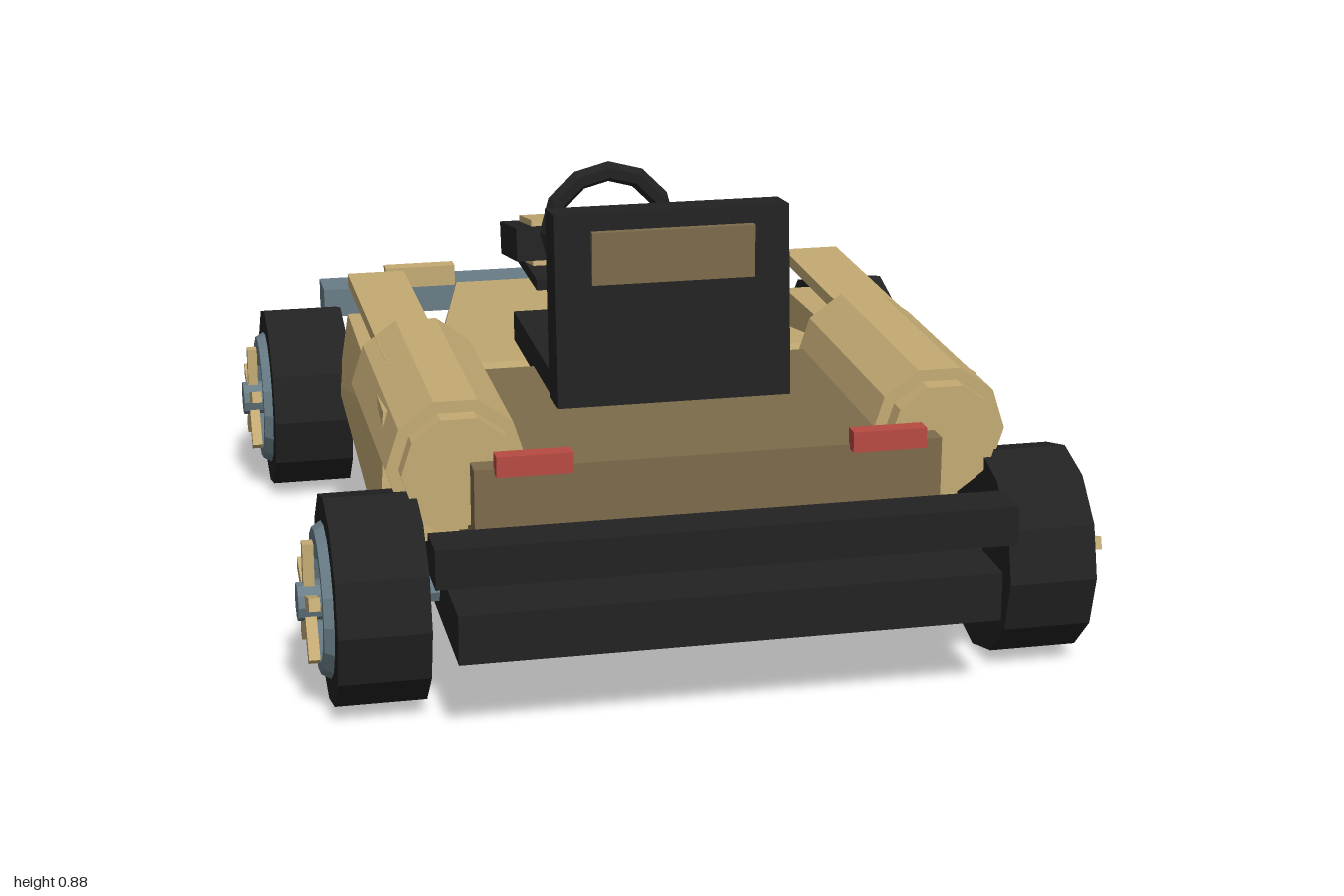
import * as THREE from 'three';
import { ConvexGeometry } from 'three/addons/geometries/ConvexGeometry.js';

const paint = (name, color) => {
  const m = new THREE.MeshStandardMaterial({ color });
  m.name = name;
  return m;
};

export function createModel() {
  const tan = paint('tan', 0xc4ab74);
  const darkTan = paint('dark tan', 0x7d6c4c);
  const black = paint('black', 0x222222);
  const steel = paint('blue grey', 0x697d87);
  const red = paint('red', 0xb84a42);

  const kart = new THREE.Group();
  kart.name = 'kart';

  // Adds a faceted mesh
  function add(name, geometry, material, parent = kart) {
    const g = geometry.index ? geometry.toNonIndexed() : geometry;
    g.computeVertexNormals();
    const mesh = new THREE.Mesh(g, material);
    mesh.name = name;
    parent.add(mesh);
    return mesh;
  }

  // Box given by its limits on each axis
  function box(name, [x0, x1], [y0, y1], [z0, z1], material, parent) {
    const mesh = add(name, new THREE.BoxGeometry(Math.abs(x1 - x0), y1 - y0, z1 - z0), material, parent);
    mesh.position.set((x0 + x1) / 2, (y0 + y1) / 2, (z0 + z1) / 2);
    return mesh;
  }

  // Convex block through a few corners
  const block = (name, corners, material) =>
    add(name, new ConvexGeometry(corners.map((c) => new THREE.Vector3(...c))), material);

  // Cylinder between two points
  function rod(name, a, b, radius, sides, material, parent) {
    const p = new THREE.Vector3(...a), q = new THREE.Vector3(...b);
    const mesh = add(name, new THREE.CylinderGeometry(radius, radius, p.distanceTo(q), sides), material, parent);
    mesh.position.copy(p).lerp(q, 0.5);
    mesh.quaternion.setFromUnitVectors(new THREE.Vector3(0, 1, 0), q.sub(p).normalize());
    return mesh;
  }

  // Chassis, bumper, deck and wing
  box('floorPan', [-0.535, 0.535], [0.165, 0.265], [-0.83, 1], black);
  box('bumper', [-0.573, 0.573], [0.31, 0.39], [0.88, 0.975], black);
  box('deck', [-0.47, 0.47], [0.265, 0.48], [0.17, 0.8], darkTan);
  box('wing', [-0.58, 0.58], [0.3, 0.37], [-1, -0.895], steel);

  // Tapered hood
  block('hood', [-1, 1].flatMap((s) => [
    [s * 0.25, 0.375, -0.88], [s * 0.29, 0.19, -0.95],
    [s * 0.44, 0.46, 0.06], [s * 0.45, 0.265, 0.13],
  ]), tan);

  // Seat
  box('seatBase', [-0.24, 0.24], [0.465, 0.53], [-0.08, 0.42], black);
  const back = add('seatBack', new THREE.BoxGeometry(0.49, 0.4, 0.092), black);
  back.position.set(0, 0.678, 0.412);
  back.rotation.x = -0.09;
  box('headPanel', [-0.17, 0.17], [0.735, 0.845], [0.347, 0.459], darkTan);

  // Steering wheel, spoke bar and column
  const wheel = add('steeringWheel', new THREE.TorusGeometry(0.134, 0.023, 6, 12), black);
  wheel.position.set(0, 0.673, -0.21);
  box('steeringSpoke', [-0.12, 0.12], [0.655, 0.69], [-0.22, -0.2], steel);
  rod('steeringColumn', [0, 0.665, -0.215], [0, 0.39, -0.46], 0.021, 8, steel);

  // Dash pod
  const dash = new THREE.Group();
  dash.name = 'dash';
  dash.position.set(0, 0.565, -0.545);
  dash.rotation.x = -0.18;
  kart.add(dash);
  add('dashBox', new THREE.BoxGeometry(0.345, 0.078, 0.235), black, dash);
  add('dashPanel', new THREE.BoxGeometry(0.26, 0.108, 0.17), tan, dash);
  box('dashPlate', [-0.13, 0.13], [0.48, 0.506], [-0.69, -0.405], black);

  for (const s of [-1, 1]) {
    // Side pod
    block('sidePod', [
      [s * 0.455, 0.465, -0.355], [s * 0.58, 0.465, -0.355],
      [s * 0.45, 0.265, -0.44], [s * 0.598, 0.265, -0.44],
      [s * 0.42, 0.535, 0.57], [s * 0.615, 0.535, 0.57],
      [s * 0.42, 0.265, 0.6], [s * 0.628, 0.265, 0.6],
    ], tan);

    // Side barrel with stepped end, and rail
    const sx = s * 0.49;
    for (const [name, z0, z1, r] of [['barrel', 0.145, 0.71, 0.14], ['barrelEnd', 0.7, 0.752, 0.115]]) {
      const geo = new THREE.CylinderGeometry(r, r, z1 - z0, 10);
      geo.rotateY(Math.PI / 10).rotateX(Math.PI / 2);
      add(name, geo, tan).position.set(sx, 0.46, (z0 + z1) / 2);
    }
    box('sideRail', [s * 0.45, s * 0.578], [0.535, 0.562], [-0.35, 0.36], tan);

    // Lamps
    box('tailLamp', [s * 0.28, s * 0.43], [0.47, 0.512], [0.79, 0.825], red);
    box('noseLamp', [s * 0.27, s * 0.44], [0.4, 0.45], [-0.81, -0.772], tan);

    // Wheels with rim, hub and five spokes
    for (const z of [0.73, -0.565]) {
      const group = new THREE.Group();
      group.name = 'wheel';
      group.position.set(0, 0.21, z);
      kart.add(group);
      rod('axle', [s * 0.5, 0.008, 0], [s * 0.6, 0.008, 0], 0.03, 8, steel, group);
      const tyre = new THREE.CylinderGeometry(0.21, 0.21, 0.18, 12).rotateZ(Math.PI / 2);
      add('tyre', tyre, black, group).position.x = s * 0.665;
      const rim = new THREE.TorusGeometry(0.133, 0.022, 6, 16).rotateY(Math.PI / 2);
      add('rim', rim, steel, group).position.x = s * 0.755;
      rod('hub', [s * 0.75, 0, 0], [s * 0.812, 0, 0], 0.038, 10, steel, group);
      for (let i = 0; i < 5; i++) {
        const spoke = new THREE.BoxGeometry(0.022, 0.09, 0.026);
        spoke.translate(s * 0.788, 0.077, 0).rotateX((i * Math.PI * 2) / 5);
        add('spoke', spoke, tan, group);
      }
    }
  }
  return kart;
}
